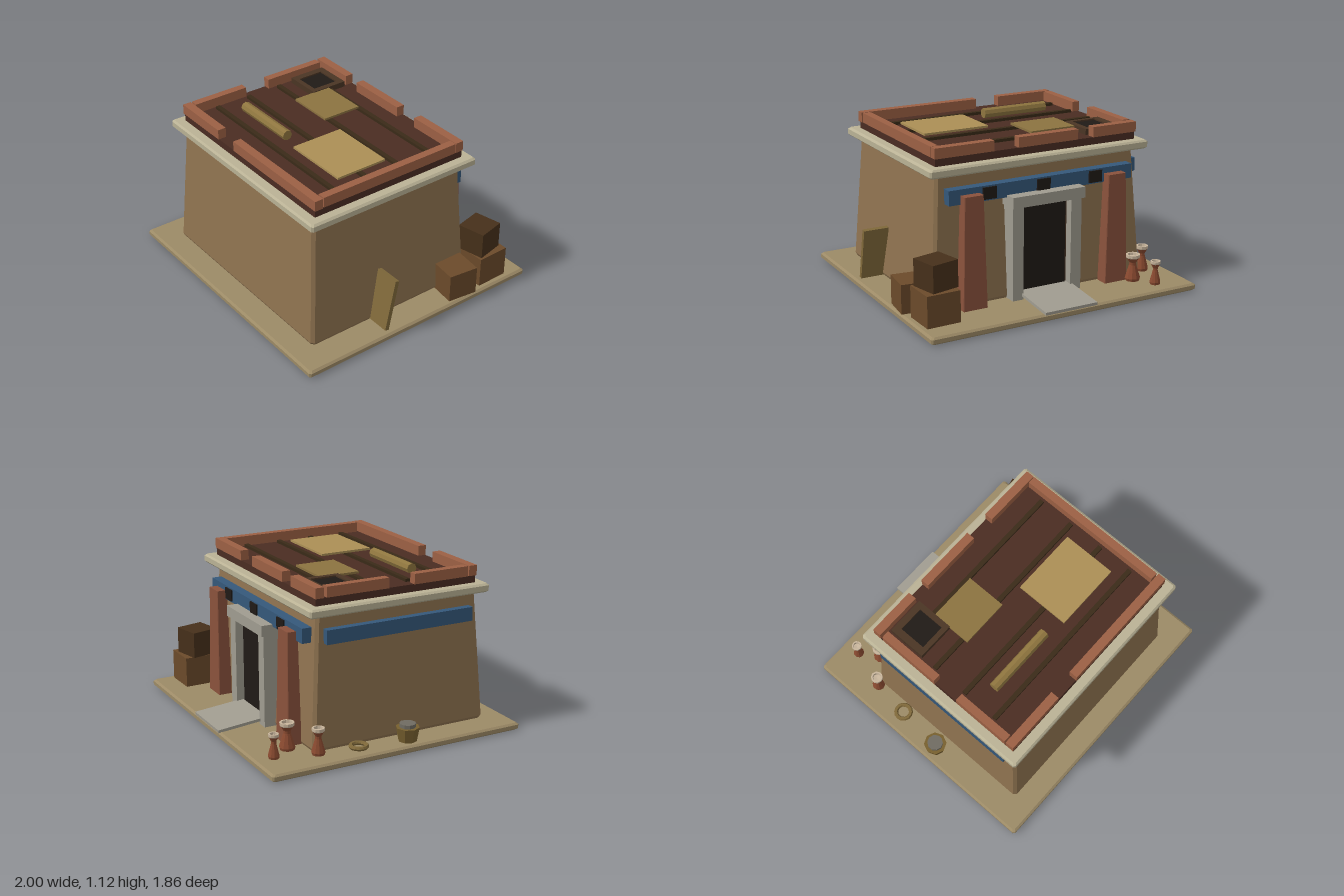
import * as THREE from 'three';

const COLORS = {
  sand: 0x9c8a66, wall: 0x8f7350, stone: 0xbab295, roof: 0x4a2c22, beam: 0x3a2a18,
  brick: 0x9c6044, pillar: 0x8a523c, grey: 0xa09c90, blue: 0x35587a, dark: 0x201a16,
  frame: 0x4a3524, cloth: 0xab8f55, cloth2: 0x8c7340, roll: 0x8f763f, crate: 0x6b4a2a,
  darkCrate: 0x46301a, plank: 0x80693a, clay: 0x8a4a30, rim: 0xc8b59c, basket: 0x77602f, ash: 0x706c62,
};
const mats = {};
const mat = (c) => (mats[c] ??= new THREE.MeshStandardMaterial({
  color: COLORS[c], flatShading: true, side: THREE.DoubleSide,
}));

export function createModel() {
  const model = new THREE.Group();

  const add = (name, geo, color, x = 0, y = 0, z = 0) => {
    const mesh = new THREE.Mesh(geo, mat(color));
    mesh.name = name;
    mesh.position.set(x, y, z);
    model.add(mesh);
    return mesh;
  };

  // Box given by its extents on each axis
  const box = (name, color, [x0, x1], [y0, y1], [z0, z1]) =>
    add(name, new THREE.BoxGeometry(x1 - x0, y1 - y0, z1 - z0), color,
      (x0 + x1) / 2, (y0 + y1) / 2, (z0 + z1) / 2);

  // Stack of rectangles [y, halfX, halfZ] with cut corners, capped at both ends
  const loft = (sections, cut) => {
    const pos = [], idx = [], n = 8;
    for (const [y, a, b] of sections) {
      const ring = [[a, b - cut], [a - cut, b], [cut - a, b], [-a, b - cut],
        [-a, cut - b], [cut - a, -b], [a - cut, -b], [a, cut - b]];
      for (const [x, z] of ring) pos.push(x, y, z);
    }
    for (let s = 0; s < sections.length - 1; s++) {
      for (let i = 0; i < n; i++) {
        const p = s * n + i, q = s * n + (i + 1) % n;
        idx.push(p, p + n, q, q, p + n, q + n);
      }
    }
    const top = (sections.length - 1) * n;
    for (let i = 1; i < n - 1; i++) {
      idx.push(0, i, i + 1, top, top + i + 1, top + i);
    }
    const g = new THREE.BufferGeometry();
    g.setAttribute('position', new THREE.Float32BufferAttribute(pos, 3));
    g.setIndex(idx);
    const flat = g.toNonIndexed();
    flat.computeVertexNormals();
    return flat;
  };

  // Ground slab, battered walls, cornice, roof deck
  add('groundSlab', loft([[0, 0.985, 0.91], [0.012, 1, 0.925], [0.038, 1, 0.925], [0.05, 0.985, 0.91]], 0.012), 'sand');
  add('walls', loft([[0.05, 0.79, 0.64], [0.07, 0.8, 0.65], [0.93, 0.745, 0.595], [0.95, 0.73, 0.58]], 0.02), 'wall', 0, 0, 0.11);
  add('cornice', loft([[0.94, 0.805, 0.655], [0.952, 0.82, 0.667], [0.988, 0.82, 0.667], [1, 0.805, 0.655]], 0.012), 'stone', 0, 0, 0.1);
  box('roofDeck', 'roof', [-0.75, 0.75], [0.99, 1.05], [-0.495, 0.695]);

  // Broken parapet
  const high = [1.05, 1.12];
  for (const xs of [[-0.76, -0.32], [-0.14, 0.76]]) box('frontParapet', 'brick', xs, high, [0.64, 0.7]);
  for (const xs of [[-0.76, -0.42], [-0.3, 0.15], [0.33, 0.755]]) box('backParapet', 'brick', xs, high, [-0.5, -0.44]);
  for (const zs of [[-0.42, 0.03], [0.22, 0.63]]) box('rightParapet', 'brick', [-0.76, -0.705], high, zs);
  box('leftParapet', 'brick', [0.7, 0.755], high, [-0.435, 0.63]);

  // Roof beams and hatch
  for (const z of [-0.295, -0.038, 0.217, 0.472]) box('roofBeam', 'beam', [-0.68, 0.675], [1.045, 1.07], [z - 0.016, z + 0.016]);
  for (const [x0, x1, z0, z1] of [[-0.68, -0.63, -0.42, -0.15], [-0.45, -0.41, -0.42, -0.15],
    [-0.63, -0.45, -0.42, -0.375], [-0.63, -0.45, -0.185, -0.15]]) {
    box('hatchFrame', 'frame', [x0, x1], [1.045, 1.09], [z0, z1]);
  }
  box('hatchOpening', 'dark', [-0.635, -0.445], [1.045, 1.08], [-0.38, -0.18]);

  // Mats and a rolled mat on the roof
  box('largeMat', 'cloth', [0.1, 0.58], [1.07, 1.085], [0.01, 0.39]);
  box('smallMat', 'cloth2', [-0.415, -0.07], [1.07, 1.085], [-0.28, 0.005]);
  const roll = add('rolledMat', new THREE.CylinderGeometry(0.036, 0.036, 0.495, 8), 'roll', -0.285, 1.087, 0.34);
  roll.rotation.z = Math.PI / 2;

  // Painted bands with dark vents
  box('backBand', 'blue', [-0.69, 0.69], [0.75, 0.85], [-0.56, -0.48]);
  box('sideBand', 'blue', [-0.8, -0.74], [0.755, 0.85], [-0.44, 0.65]);
  for (const x of [-0.4, 0, 0.4]) box('vent', 'dark', [x - 0.05, x + 0.05], [0.76, 0.84], [-0.57, -0.5]);

  // Tapered pillars either side of the door
  for (const s of [-1, 1]) {
    add('pillar', loft([[0.05, 0.088, 0.05], [0.81, 0.068, 0.037]], 0.004), 'pillar', s * 0.54, 0, -0.583);
    const post = [s * 0.18, s * 0.26].sort((a, b) => a - b);
    box('doorPost', 'grey', post, [0.05, 0.7], [-0.62, -0.5]);
  }

  // Doorway, lintel and ramp
  box('lintel', 'grey', [-0.275, 0.27], [0.69, 0.765], [-0.64, -0.48]);
  box('doorFrame', 'frame', [-0.185, 0.185], [0.05, 0.7], [-0.56, -0.48]);
  box('door', 'dark', [-0.165, 0.165], [0.06, 0.67], [-0.57, -0.5]);
  const ramp = add('ramp', new THREE.BoxGeometry(0.39, 0.02, 0.38), 'grey', -0.003, 0.073, -0.74);
  ramp.rotation.x = -0.09;

  // Crates and a leaning plank
  const crate = (name, color, x, y, z, w, h, turn) => {
    add(name, new THREE.BoxGeometry(w, h, w), color, x, y + h / 2, z).rotation.y = turn;
  };
  crate('lowerCrate', 'crate', 0.84, 0.05, -0.655, 0.235, 0.215, 0.02);
  crate('upperCrate', 'darkCrate', 0.825, 0.265, -0.635, 0.2, 0.185, 0.22);
  crate('smallCrate', 'crate', 0.875, 0.05, -0.38, 0.215, 0.2, -0.12);
  const plank = add('plank', new THREE.BoxGeometry(0.18, 0.37, 0.03), 'plank', 0.87, 0.236, 0.235);
  plank.rotation.x = -0.21;

  // Waisted clay jars with pale rims
  const vase = (x, z, r, h) => {
    const pts = [[0, 0], [0.9, 0], [1, 0.1], [0.45, 0.6], [0.45, 0.7], [0.85, 0.88]]
      .map(([a, b]) => new THREE.Vector2(a * r, b * h));
    add('jar', new THREE.LatheGeometry(pts, 10), 'clay', x, 0.05, z);
    const rim = [[0.85, 0.87], [0.92, 0.9], [0.92, 1], [0.65, 1], [0.6, 0.9], [0, 0.88]]
      .map(([a, b]) => new THREE.Vector2(a * r, b * h));
    add('jarRim', new THREE.LatheGeometry(rim, 10), 'rim', x, 0.05, z);
  };
  vase(-0.75, -0.795, 0.038, 0.165);
  vase(-0.66, -0.655, 0.054, 0.185);
  vase(-0.83, -0.52, 0.046, 0.18);

  // Rope coil and basket
  const coil = add('ropeCoil', new THREE.TorusGeometry(0.053, 0.015, 6, 14), 'plank', -0.865, 0.065, -0.245);
  coil.rotation.x = Math.PI / 2;
  add('basket', new THREE.CylinderGeometry(0.08, 0.062, 0.095, 8), 'basket', -0.9, 0.0975, 0.1);
  add('basketContents', new THREE.CylinderGeometry(0.055, 0.055, 0.04, 10), 'ash', -0.9, 0.15, 0.1);

  return model;
}
